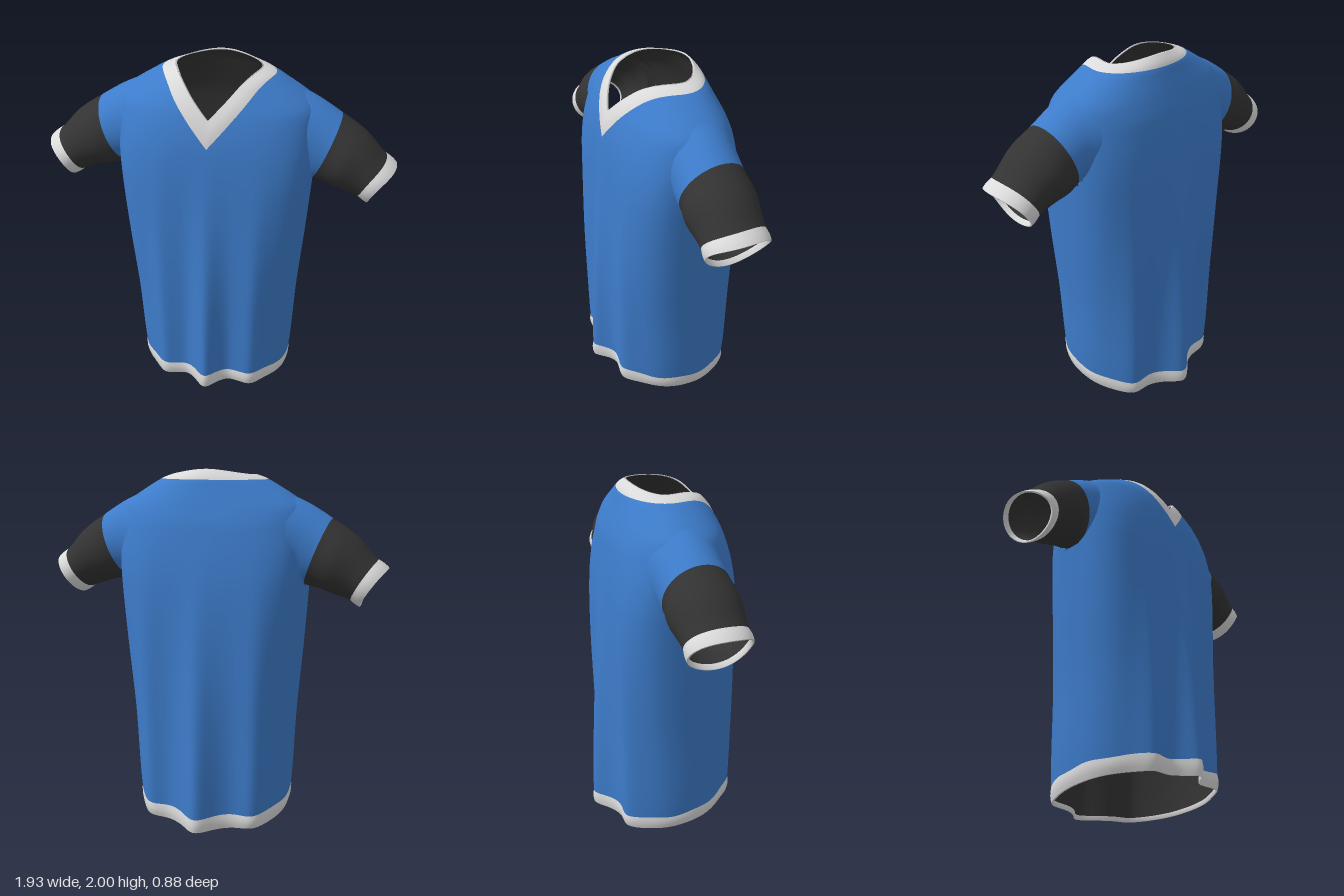
import * as THREE from 'three';

const blue = new THREE.MeshStandardMaterial({ color: 0x3d7ccb });
blue.name = 'blue cloth';
const dark = new THREE.MeshStandardMaterial({ color: 0x333333 });
dark.name = 'dark cloth';
const white = new THREE.MeshStandardMaterial({ color: 0xdbdbdb });
white.name = 'white trim';

const SEG = 240;      // columns around the body
const THICK = 0.01;   // cloth thickness
const CUFF = 0.915;   // start of the cuff along the sleeve

// Smooth interpolation through [position, value] keys
function curve(keys) {
  const slope = (i) => {
    const a = keys[Math.max(i - 1, 0)], b = keys[Math.min(i + 1, keys.length - 1)];
    return (b[1] - a[1]) / (b[0] - a[0]);
  };
  return (p) => {
    if (p <= keys[0][0]) return keys[0][1];
    let i = 0;
    while (i < keys.length - 1 && keys[i + 1][0] < p) i++;
    if (i === keys.length - 1) return keys[i][1];
    const h = keys[i + 1][0] - keys[i][0], t = (p - keys[i][0]) / h;
    const t2 = t * t, t3 = t2 * t;
    return (2 * t3 - 3 * t2 + 1) * keys[i][1] + (t3 - 2 * t2 + t) * h * slope(i)
      + (3 * t2 - 2 * t3) * keys[i + 1][1] + (t3 - t2) * h * slope(i + 1);
  };
}

// Skin closed rings of points; skip(centre) leaves holes
function loft(name, rings, material, skip) {
  const n = rings[0].length, index = [], mid = new THREE.Vector3();
  for (let r = 0; r < rings.length - 1; r++) {
    for (let j = 0; j < n; j++) {
      const k = (j + 1) % n;
      if (skip) {
        mid.copy(rings[r][j]).add(rings[r + 1][k]).multiplyScalar(0.5);
        if (skip(mid)) continue;
      }
      const a = r * n + j, b = r * n + k;
      index.push(a, a + n, b, b, a + n, b + n);
    }
  }
  const geometry = new THREE.BufferGeometry().setFromPoints(rings.flat());
  geometry.setIndex(index);
  geometry.computeVertexNormals();
  const mesh = new THREE.Mesh(geometry, material);
  mesh.name = name;
  return mesh;
}

const steps = (n, from, to, f) =>
  Array.from({ length: n + 1 }, (_, i) => f(from + (to - from) * i / n));

// Body outline by height: half width, front and back depth, squareness, fold strength
const halfWidth = curve([[0, 0.44], [0.2, 0.46], [0.6, 0.475], [0.8, 0.488], [1, 0.502], [1.2, 0.514],
  [1.4, 0.525], [1.6, 0.535], [1.72, 0.535], [1.8, 0.52], [1.85, 0.46], [1.9, 0.38], [1.945, 0.3],
  [1.975, 0.22], [2, 0.17]]);
const frontDepth = curve([[0, 0.355], [0.6, 0.355], [1, 0.347], [1.4, 0.33], [1.6, 0.313], [1.7, 0.296],
  [1.8, 0.266], [1.86, 0.24], [1.9, 0.217], [1.945, 0.185], [1.97, 0.155], [2, 0.12]]);
const backDepth = curve([[0, 0.355], [1, 0.355], [1.4, 0.345], [1.7, 0.31], [1.8, 0.28],
  [1.9, 0.243], [1.945, 0.225], [2, 0.185]]);
const square = curve([[0, 2.25], [0.6, 2.5], [1, 2.85], [1.4, 3.2], [1.55, 3], [1.7, 2.5], [1.85, 2.1], [2, 2]]);
const foldStrength = curve([[0, 1], [0.2, 0.97], [0.6, 0.72], [1, 0.4], [1.4, 0.1], [1.65, 0]]);
const centreZ = curve([[0, 0], [1.2, 0], [1.8, -0.03], [2, -0.04]]);

const bump = (x, at, width) => Math.exp(-(((x - at) / width) ** 2));
const frontFolds = (x) => 0.078 * bump(x, 0, 0.065) - 0.012 * bump(x, 0.13, 0.045)
  + 0.045 * bump(x, 0.27, 0.065);
const backFolds = (x) => 0.082 * bump(x, 0, 0.085) - 0.01 * bump(x, 0.18, 0.06)
  + 0.055 * bump(x, 0.33, 0.075);

function bodyPoint(a, y, inset = 0) {
  const c = Math.cos(a), s = Math.sin(a), n = square(y);
  const r = 1 / (Math.abs(c) ** n + Math.abs(s) ** n) ** (1 / n);
  const x = c * r * (halfWidth(y) - inset), front = s > 0, zc = centreZ(y);
  let depth = (front ? frontDepth(y) - zc : backDepth(y) + zc) - inset;
  depth += (front ? frontFolds : backFolds)(Math.abs(x)) * foldStrength(y);
  return new THREE.Vector3(x, y, zc + s * r * depth);
}

// Minimum of two values with a rounded corner
function softMin(a, b, round) {
  const h = Math.max(round - Math.abs(a - b), 0) / round;
  return Math.min(a, b) - h * h * round / 4;
}

// Height at which column a meets a V-neck line
function neckHeight(a, tip, slope, cap) {
  if (Math.sin(a) <= 0) return cap;
  let low = 1.4, high = cap;
  for (let i = 0; i < 30; i++) {
    const y = (low + high) / 2;
    if (y < softMin(cap, tip + slope * Math.abs(bodyPoint(a, y).x), 0.05)) low = y;
    else high = y;
  }
  return (low + high) / 2;
}

function buildBody(group) {
  const columns = Array.from({ length: SEG }, (_, j) => {
    const a = (j / SEG) * Math.PI * 2, s = Math.sin(a);
    const hem = 0.053 + 0.053 * s;
    return {
      a, hem,
      hemTop: hem + 0.083 + 0.004 * Math.sin(a * 9),
      neckOuter: neckHeight(a, 1.64, 1.2, 1.945),
      neckInner: neckHeight(a, 1.78, 1.05, 1.97 + 0.03 * Math.max(0, -s) ** 2),
    };
  });
  const ring = (height, inset) => columns.map((c) => bodyPoint(c.a, height(c), inset));
  const between = (from, to, t) => (c) => c[from] + (c[to] - c[from]) * t;
  const ease = (t) => 1 - (1 - t) ** 1.6;
  const armhole = (p) => Math.abs(p.x) > 0.4
    && ((p.y - 1.59) / 0.2) ** 2 + ((p.z + 0.03) / 0.16) ** 2 < 1;

  group.add(
    loft('body', steps(52, 0, 1, (t) => ring(between('hemTop', 'neckOuter', ease(t)), 0)), blue, armhole),
    loft('hemBand', steps(4, 0, 1, (t) =>
      ring(between('hem', 'hemTop', t), -0.006 * Math.sin(t * Math.PI))), white),
    loft('hemEdge', [ring((c) => c.hem + 0.025, THICK), ring((c) => c.hem, THICK), ring((c) => c.hem, 0)], white),
    loft('neckBand', steps(6, 0, 1, (t) =>
      ring(between('neckOuter', 'neckInner', t), -0.004 * Math.sin(t * Math.PI))), white),
    loft('neckEdge', [ring((c) => c.neckInner, 0), ring((c) => c.neckInner, THICK),
      ring((c) => c.neckInner - 0.008, THICK)], white),
    loft('bodyLining', steps(52, 1, 0, (t) =>
      ring((c) => c.hem + 0.025 + (c.neckInner - 0.033 - c.hem) * ease(t), THICK)), dark, armhole),
  );
}

// Sleeve: upper and lower edge seen from the front, and half depth, along its length
const topX = curve([[0, 0.43], [0.25, 0.54], [0.45, 0.655], [0.75, 0.8], [0.9, 0.895], [1, 0.963]]);
const topY = curve([[0, 1.866], [0.25, 1.815], [0.45, 1.745], [0.75, 1.645], [0.9, 1.542], [1, 1.49]]);
const lowX = curve([[0, 0.46], [0.25, 0.49], [0.45, 0.517], [0.75, 0.66], [0.9, 0.76], [1, 0.82]]);
const lowY = curve([[0, 1.4], [0.25, 1.397], [0.45, 1.39], [0.75, 1.345], [0.9, 1.315], [1, 1.275]]);
const sleeveDepth = curve([[0, 0.2], [0.25, 0.18], [0.45, 0.177], [0.65, 0.187], [0.9, 0.168], [1, 0.17]]);

function buildSleeve(group, side, label) {
  const ring = (u, inset = 0) => Array.from({ length: 64 }, (_, j) => {
    const a = (j / 64) * Math.PI * 2, c = Math.cos(a), s = Math.sin(a);
    const wrinkle = 0.02 * Math.sin(u * 16 + 2 * a) * Math.sin(Math.PI * u) * (1 - c) / 2;
    const k = 1 + wrinkle - inset / 0.16;
    const dx = (topX(u) - lowX(u)) / 2, dy = (topY(u) - lowY(u)) / 2;
    // The opening curves back at its sides, most at the front
    const back = Math.max(0, (u - 0.6) / 0.4) * s * s * (0.025 - 0.01 * side * s);
    return new THREE.Vector3(
      side * ((topX(u) + lowX(u)) / 2 + dx * c * k - 0.83 * back),
      (topY(u) + lowY(u)) / 2 + dy * c * k + 0.56 * back,
      -0.03 + 0.02 * u - side * sleeveDepth(u) * s * k);
  });
  const sleeve = new THREE.Group();
  sleeve.name = label;
  sleeve.add(
    loft('shoulderCap', steps(10, 0, 0.45, (u) => ring(u)), blue),
    loft('sleeve', steps(14, 0.45, CUFF, (u) => ring(u)), dark),
    loft('cuff', steps(4, CUFF, 1, (u) => ring(u, -0.004 * Math.sin((u - CUFF) / (1 - CUFF) * Math.PI))), white),
    loft('cuffEdge', [ring(1), ring(1, THICK), ring(0.96, THICK)], white),
    loft('sleeveLining', steps(16, 0.96, 0, (u) => ring(u, THICK)), dark),
  );
  group.add(sleeve);
}

export function createModel() {
  const shirt = new THREE.Group();
  shirt.name = 'shirt';
  buildBody(shirt);
  buildSleeve(shirt, 1, 'leftSleeve');
  buildSleeve(shirt, -1, 'rightSleeve');
  return shirt;
}
